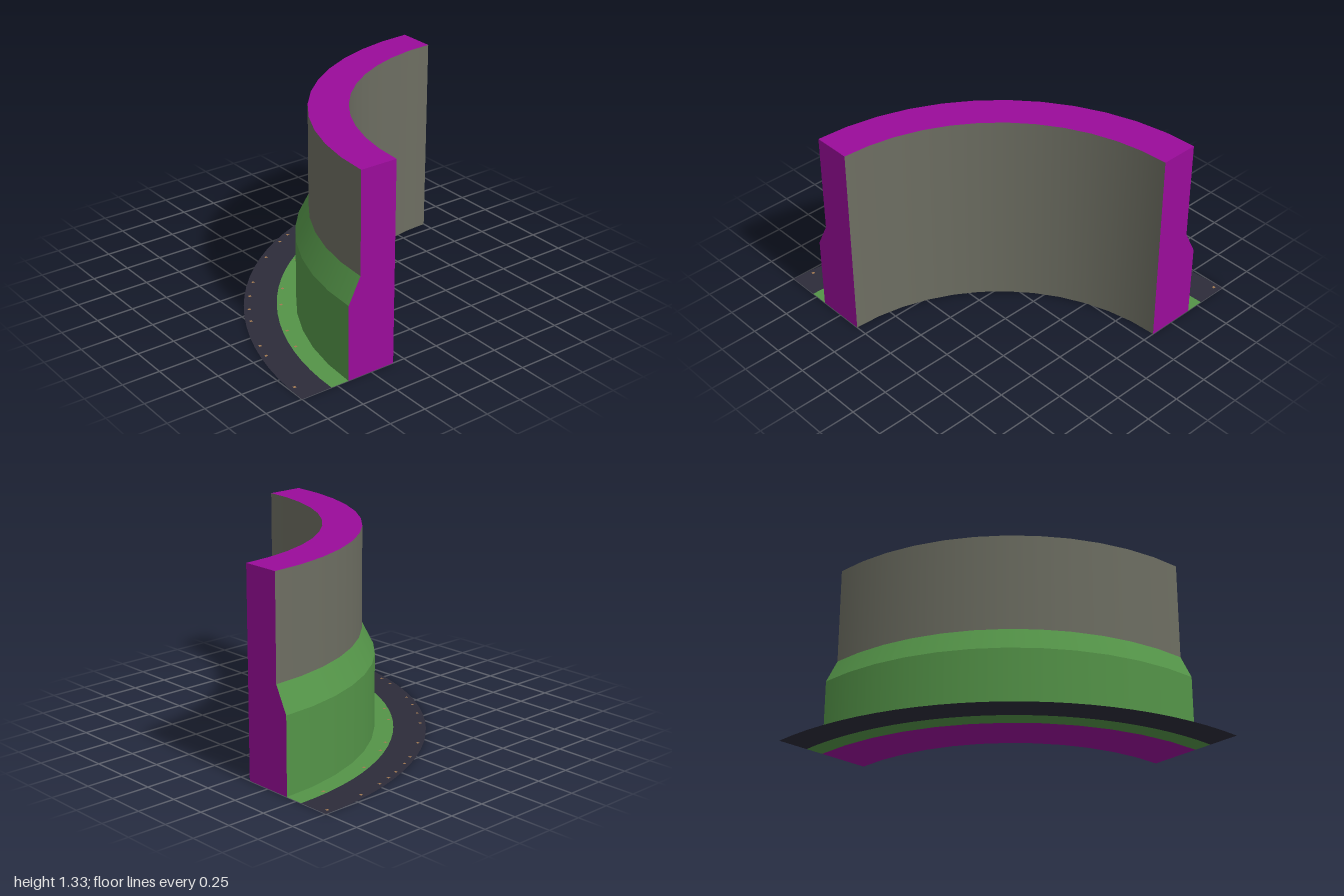
import * as THREE from 'three';

const STEPS = 12;
const INNER = 1.333, OUTER = 1.583, BASE = 1.667, VERGE = 1.79, EDGE = 2;
const TOP = 1.333, LEDGE = 0.667, SHOULDER = 0.5;

const mat = (name, color, side = THREE.FrontSide) =>
  Object.assign(new THREE.MeshStandardMaterial({ color, side }), { name });

export function createModel() {
  const stone = mat('stone grey', 0x6d6e62);
  const purple = mat('purple', 0x9a0c9a);
  const grass = mat('grass green', 0x549448, THREE.DoubleSide);
  const road = mat('dark slate', 0x2d2c3a, THREE.DoubleSide);
  const tan = mat('tan', 0xa07850, THREE.DoubleSide);

  // Everything is a quarter turn around the corner (1, 0, 1)
  const model = new THREE.Group();
  model.name = 'curvedWall';
  const corner = new THREE.Group();
  corner.name = 'quarterTurn';
  corner.position.set(1, 0, 1);
  model.add(corner);

  const add = (name, geometry, material) => {
    const mesh = new THREE.Mesh(geometry, material);
    mesh.name = name;
    corner.add(mesh);
    return mesh;
  };

  // One band of the wall, swept from [radius, height] to [radius, height]
  const band = (name, from, to, material) => add(name, new THREE.LatheGeometry(
    [new THREE.Vector2(...from), new THREE.Vector2(...to)], STEPS, Math.PI, Math.PI / 2), material);

  band('innerWall', [INNER, TOP], [INNER, 0], stone);
  band('outerWall', [OUTER, LEDGE], [OUTER, TOP], stone);
  band('wallTop', [OUTER, TOP], [INNER, TOP], purple);
  band('wallUnderside', [INNER, 0], [BASE, 0], purple);
  band('plinth', [BASE, 0], [BASE, SHOULDER], grass);
  band('plinthSlope', [BASE, SHOULDER], [OUTER, LEDGE], grass);

  // Flat end faces of the wall
  const section = [[INNER, 0], [BASE, 0], [BASE, SHOULDER], [OUTER, LEDGE], [OUTER, TOP], [INNER, TOP]];
  const endFace = (sign) => new THREE.ShapeGeometry(
    new THREE.Shape(section.map(([r, y]) => new THREE.Vector2(sign * r, y))));
  add('frontEnd', endFace(-1), purple);
  add('leftEnd', endFace(1).rotateY(Math.PI / 2), purple);

  // Flat ground strips outside the wall
  const arc = (r, n) => Array.from({ length: n + 1 }, (_, i) => {
    const t = (i / n) * Math.PI / 2;
    return new THREE.Vector2(-r * Math.cos(t), r * Math.sin(t));
  });
  const strip = (name, r0, n0, r1, n1, material) => add(name, new THREE.ShapeGeometry(
    new THREE.Shape([...arc(r0, n0), ...arc(r1, n1).reverse()])).rotateX(-Math.PI / 2), material);
  strip('grassVerge', BASE, STEPS, VERGE, STEPS * 2, grass);
  strip('groundEdge', VERGE, STEPS * 2, EDGE, STEPS * 2, road);

  // Small specks scattered along both strips, by angle in degrees
  const specks = [
    [1.965, [3.8, 15.3, 18.9, 27.9, 32.3, 37.3, 42.8, 53.3, 60.5, 63.9, 68.2, 71.2, 74.4, 80.2, 88.8]],
    [1.763, [16.5, 23, 33.8, 40.7, 54.2, 58.9, 68.7, 83.2]],
  ];
  const speck = new THREE.PlaneGeometry(0.018, 0.018).rotateX(-Math.PI / 2);
  for (const [r, angles] of specks) {
    for (const a of angles) {
      const t = THREE.MathUtils.degToRad(a);
      add('speck', speck, tan).position.set(-r * Math.cos(t), 0.002, -r * Math.sin(t));
    }
  }
  return model;
}
